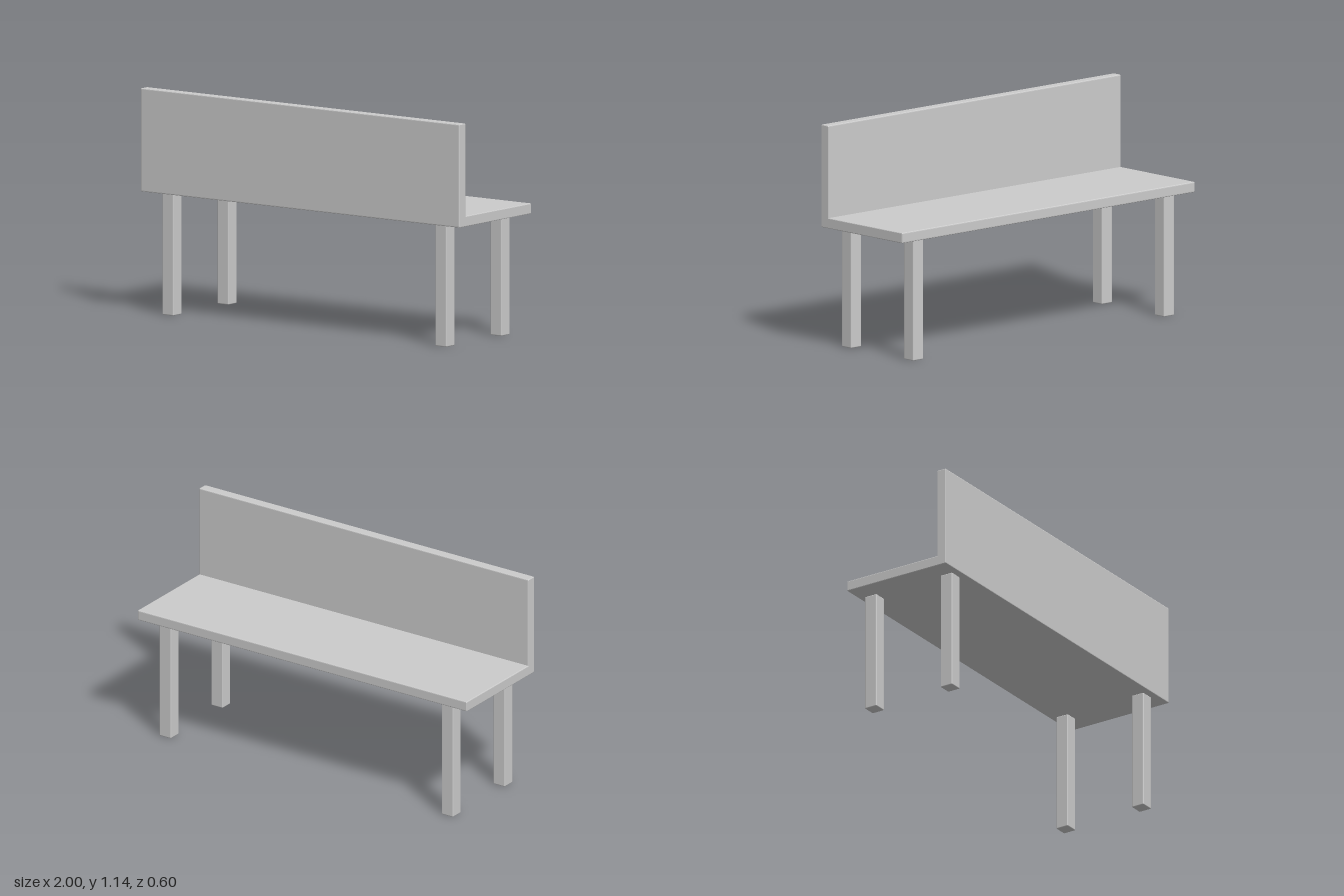
import * as THREE from 'three';
import { RoundedBoxGeometry } from 'three/addons/geometries/RoundedBoxGeometry.js';

const material = new THREE.MeshStandardMaterial({ color: 0xcccccc });
const BEVEL = 0.004;

// Closed outline whose outer corners are eased by radius r (r = 0 stays sharp)
function easedOutline(corners) {
  const shape = new THREE.Shape();
  corners.forEach(([x, y, r], i) => {
    const p = new THREE.Vector2(x, y);
    const toward = (c) => new THREE.Vector2(c[0], c[1]).sub(p).setLength(r).add(p);
    const a = toward(corners.at(i - 1));
    const b = toward(corners[(i + 1) % corners.length]);
    if (i === 0) shape.moveTo(a.x, a.y);
    else shape.lineTo(a.x, a.y);
    if (r > 0) shape.quadraticCurveTo(x, y, b.x, b.y);
  });
  shape.closePath();
  return shape;
}

export function createModel() {
  const bench = new THREE.Group();
  bench.name = 'bench';

  // Seat and backrest: one L-shaped profile swept along the bench's length
  const r = 0.006;
  const profile = easedOutline([
    [-0.298, 0.617, r], [0.298, 0.617, r], [0.298, 0.67, r],
    [-0.245, 0.67, 0], [-0.245, 1.14, r], [-0.298, 1.14, r],
  ]);
  const length = 2 - 2 * BEVEL;
  const seatGeometry = new THREE.ExtrudeGeometry(profile, {
    depth: length, curveSegments: 3, bevelEnabled: true,
    bevelThickness: BEVEL, bevelSize: BEVEL, bevelOffset: -BEVEL, bevelSegments: 2,
  });
  seatGeometry.translate(0, 0, -length / 2).rotateY(Math.PI / 2);
  const seat = new THREE.Mesh(seatGeometry, material);
  seat.name = 'seatAndBackrest';
  bench.add(seat);

  // Four square legs under the seat
  const legGeometry = new RoundedBoxGeometry(0.07, 0.617, 0.07, 2, 0.005);
  for (const [side, x] of [['Left', 0.857], ['Right', -0.857]]) {
    for (const [end, z] of [['front', 0.228], ['back', -0.228]]) {
      const leg = new THREE.Mesh(legGeometry, material);
      leg.name = `${end}${side}Leg`;
      leg.position.set(x, 0.617 / 2, z);
      bench.add(leg);
    }
  }
  return bench;
}
